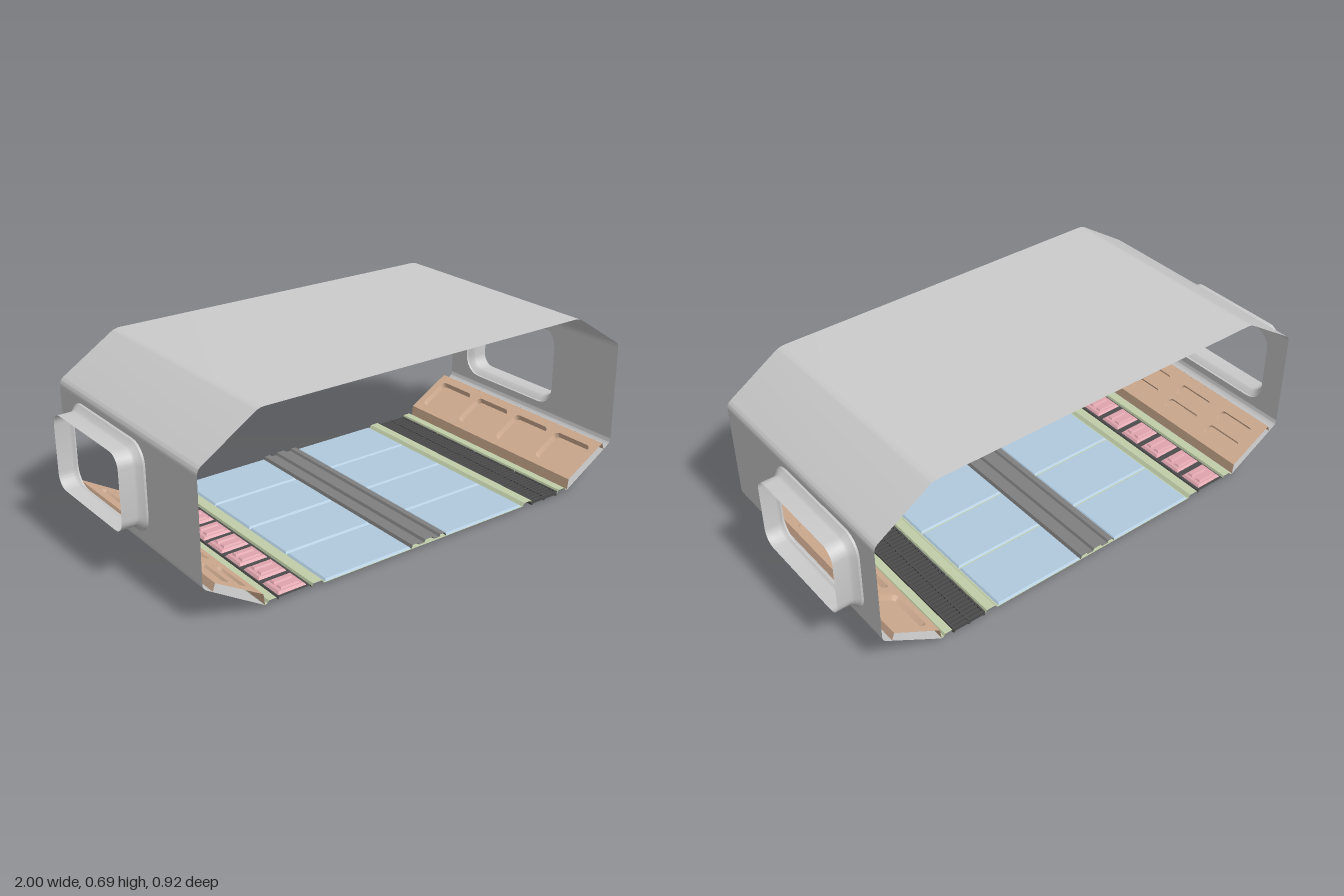
import * as THREE from 'three';
import { toCreasedNormals } from 'three/addons/utils/BufferGeometryUtils.js';

const HALF = 0.46; // half length along z
const mat = (color) => new THREE.MeshStandardMaterial({ color, side: THREE.DoubleSide });
const GREY = mat(0xcccccc), TAN = mat(0xd2ae92), BLUE = mat(0xb0cadd), GREEN = mat(0xc0cda8);
const PINK = mat(0xe0a5ae), DARK = mat(0x4c4c4c), RAIL = mat(0x808080);

function add(parent, geo, material, name, x = 0, y = 0, z = 0) {
  const m = new THREE.Mesh(geo, material);
  m.name = name;
  m.position.set(x, y, z);
  parent.add(m);
  return m;
}

// Surface through a list of equally long point rows
function loft(rows, closed = false) {
  const pos = [];
  const n = rows[0].length;
  for (let i = 0; i + 1 < rows.length; i++) {
    for (let j = 0; j < (closed ? n : n - 1); j++) {
      const k = (j + 1) % n;
      const a = rows[i][j], b = rows[i + 1][j], c = rows[i + 1][k], d = rows[i][k];
      pos.push(...a, ...b, ...c, ...a, ...c, ...d);
    }
  }
  const g = new THREE.BufferGeometry();
  g.setAttribute('position', new THREE.Float32BufferAttribute(pos, 3));
  g.computeVertexNormals();
  return toCreasedNormals(g, 0.5);
}

// Sheet with a constant xy profile along z
const ribbon = (pts, s = 1) => loft([-HALF, HALF].map((z) => pts.map(([x, y]) => [s * x, y, z])));

// Rounded corner between a, b, c for a sheet profile
function fillet(a, b, c, r) {
  const B = new THREE.Vector2(...b);
  const toward = (p) => B.clone().add(new THREE.Vector2(...p).sub(B).setLength(r));
  return new THREE.QuadraticBezierCurve(toward(a), B, toward(c)).getPoints(6).map((p) => [p.x, p.y]);
}

// Rounded rectangle outline as Vector2 points
function roundRect(cx, cy, hw, hh, r) {
  const pts = [];
  for (let q = 0; q < 4; q++) {
    const sx = q === 0 || q === 3 ? 1 : -1, sy = q < 2 ? 1 : -1;
    for (let i = 0; i <= 6; i++) {
      const t = (q + i / 6) * Math.PI / 2;
      pts.push(new THREE.Vector2(cx + sx * (hw - r) + r * Math.cos(t), cy + sy * (hh - r) + r * Math.sin(t)));
    }
  }
  return pts;
}

function sheetWithHoles(w0, w1, h0, h1, holes) {
  const s = new THREE.Shape([[w0, h0], [w1, h0], [w1, h1], [w0, h1]].map((p) => new THREE.Vector2(...p)));
  for (const h of holes) s.holes.push(new THREE.Path(h));
  return new THREE.ShapeGeometry(s);
}

// Box standing on y = 0 whose top is drawn in on all sides
function taperedBox(w, h, d, inset) {
  const g = new THREE.BoxGeometry(w, h, d).toNonIndexed();
  const p = g.attributes.position;
  for (let i = 0; i < p.count; i++) {
    if (p.getY(i) > 0) {
      p.setX(i, p.getX(i) - Math.sign(p.getX(i)) * inset);
      p.setZ(i, p.getZ(i) - Math.sign(p.getZ(i)) * inset);
    }
  }
  g.translate(0, h / 2, 0);
  g.computeVertexNormals();
  return g;
}

// Side wall with a flared window tunnel
function sideWall(s) {
  const g = new THREE.Group();
  g.name = 'sideWall';
  const ring = (o) => roundRect(-0.115, 0.353, 0.23 + o, 0.14 + o, 0.05 + o);
  const wall = sheetWithHoles(-HALF, HALF, 0.165, 0.53, [ring(0.022)]);
  wall.rotateY(-Math.PI / 2); // shape x runs along z
  add(g, wall, GREY, 'wallSheet', s * 0.915);
  const steps = [[0.915, 0.022], [0.922, 0.02], [0.937, 0.004], [0.945, 0], [1, 0]];
  add(g, loft(steps.map(([x, o]) => ring(o).map((p) => [s * x, p.y, p.x])), true), GREY, 'windowFrame');
  const lower = [...fillet([0.915, 0.4], [0.915, 0.148], [0.69, 0.01], 0.017), [0.69, 0.01]];
  add(g, ribbon([[0.915, 0.165], ...lower], s), GREY, 'lowerSlope');
  return g;
}

// Sloped inner panel with rounded recesses
function slopedPanel(s, holes, depth, draft) {
  const g = new THREE.Group();
  g.name = 'slopedPanel';
  const a = Math.atan2(0.103, 0.175), c = Math.cos(a), n = Math.sin(a);
  const face = new THREE.Group();
  face.name = 'panelFace';
  const basis = new THREE.Matrix4().makeBasis(
    new THREE.Vector3(0, 0, s), new THREE.Vector3(s * c, n, 0), new THREE.Vector3(-s * n, c, 0));
  face.quaternion.setFromRotationMatrix(basis);
  face.position.set(s * 0.695, 0.052, 0);
  const outlines = holes.map(([x, y, hw, hh, r]) => roundRect(x, y, hw, hh, r));
  add(face, sheetWithHoles(-HALF, HALF, 0, 0.203, outlines), TAN, 'panelSheet');
  holes.forEach(([x, y, hw, hh, r], i) => {
    const inner = roundRect(x, y, hw - draft, hh - draft, r - draft);
    add(face, loft([outlines[i].map((p) => [p.x, p.y, 0]), inner.map((p) => [p.x, p.y, -depth])], true), TAN, 'recessWall');
    add(face, new THREE.ShapeGeometry(new THREE.Shape(inner)), TAN, 'recessFloor', 0, 0, -depth);
  });
  g.add(face);
  add(g, ribbon([[0.69, 0.012], [0.695, 0.052]], s), TAN, 'lowerLip');
  add(g, ribbon([[0.87, 0.155], [0.88, 0.128]], s), TAN, 'upperLip');
  return g;
}

export function createModel() {
  const root = new THREE.Group();
  root.name = 'corridorSection';

  // Roof with sloped shoulders
  const half = [
    [0.915, 0.53],
    ...fillet([0.915, 0.4], [0.915, 0.55], [0.69, 0.695], 0.02),
    ...fillet([0.915, 0.55], [0.69, 0.695], [0, 0.695], 0.02),
  ];
  const roof = [...half, ...half.map(([x, y]) => [-x, y]).reverse()];
  add(root, ribbon(roof), GREY, 'roof');
  root.add(sideWall(1), sideWall(-1));

  // Sloped panels: four wide recesses on one side, two rows of slots on the other
  const wide = [], slots = [];
  for (let i = 0; i < 4; i++) {
    const z = (i - 1.5) * 0.225;
    wide.push([z, 0.1, 0.092, 0.069, 0.022]);
    for (const y of [0.06, 0.135]) slots.push([z, y, 0.08, 0.023, 0.016]);
  }
  root.add(slopedPanel(1, wide, 0.02, 0.007), slopedPanel(-1, slots, 0.01, 0.002));

  // Floor base and edge trims
  add(root, ribbon([[-0.455, 0.01], [0.455, 0.01]]), GREEN, 'floorBase');
  for (const s of [1, -1]) {
    add(root, ribbon([[0.69, 0.011], [0.68, 0.013], [0.675, 0.022], [0.645, 0.022], [0.64, 0.01]], s), GREEN, 'outerTrim');
    add(root, ribbon([[0.505, 0.01], [0.5, 0.022], [0.465, 0.022], [0.455, 0.01]], s), GREEN, 'innerTrim');
  }

  // Blue floor plates
  const plate = taperedBox(0.37, 0.007, 0.226, 0.006);
  for (const s of [1, -1]) {
    for (let i = 0; i < 4; i++) add(root, plate, BLUE, 'floorPlate', s * 0.265, 0.011, (i - 1.5) * 0.23);
  }

  // Ridged centre rail
  const rail = [[0.08, 0.011], [0.075, 0.024], [0.052, 0.026], [0.047, 0.017], [0.022, 0.017], [0.017, 0.027]];
  add(root, ribbon([...rail, ...rail.map(([x, y]) => [-x, y]).reverse()]), RAIL, 'centreRail');

  // Floor grates in four modules
  const slat = new THREE.BoxGeometry(0.13, 0.013, 0.009);
  const bar = new THREE.BoxGeometry(0.007, 0.018, 0.222);
  for (let i = 0; i < 4; i++) {
    const grate = new THREE.Group();
    grate.name = 'floorGrate';
    grate.position.set(0.572, 0, (i - 1.5) * 0.23);
    for (let j = 0; j < 13; j++) add(grate, slat, DARK, 'grateSlat', 0, 0.0105, (j - 6) * 0.0177);
    for (const x of [-0.063, 0, 0.063]) add(grate, bar, DARK, 'grateBar', x, 0.009, 0);
    root.add(grate);
  }

  // Pink tread strip
  add(root, ribbon([[-0.64, 0.01], [-0.635, 0.02], [-0.51, 0.02], [-0.505, 0.01]]), DARK, 'treadBase');
  const tread = taperedBox(0.112, 0.008, 0.092, 0.007);
  const rib = taperedBox(0.075, 0.006, 0.026, 0.004);
  for (let i = 0; i < 8; i++) {
    const z = (i - 3.5) * 0.115;
    add(root, tread, PINK, 'tread', -0.575, 0.02, z);
    for (const d of [-0.02, 0.02]) add(root, rib, PINK, 'treadRib', -0.575, 0.028, z + d);
  }
  return root;
}
